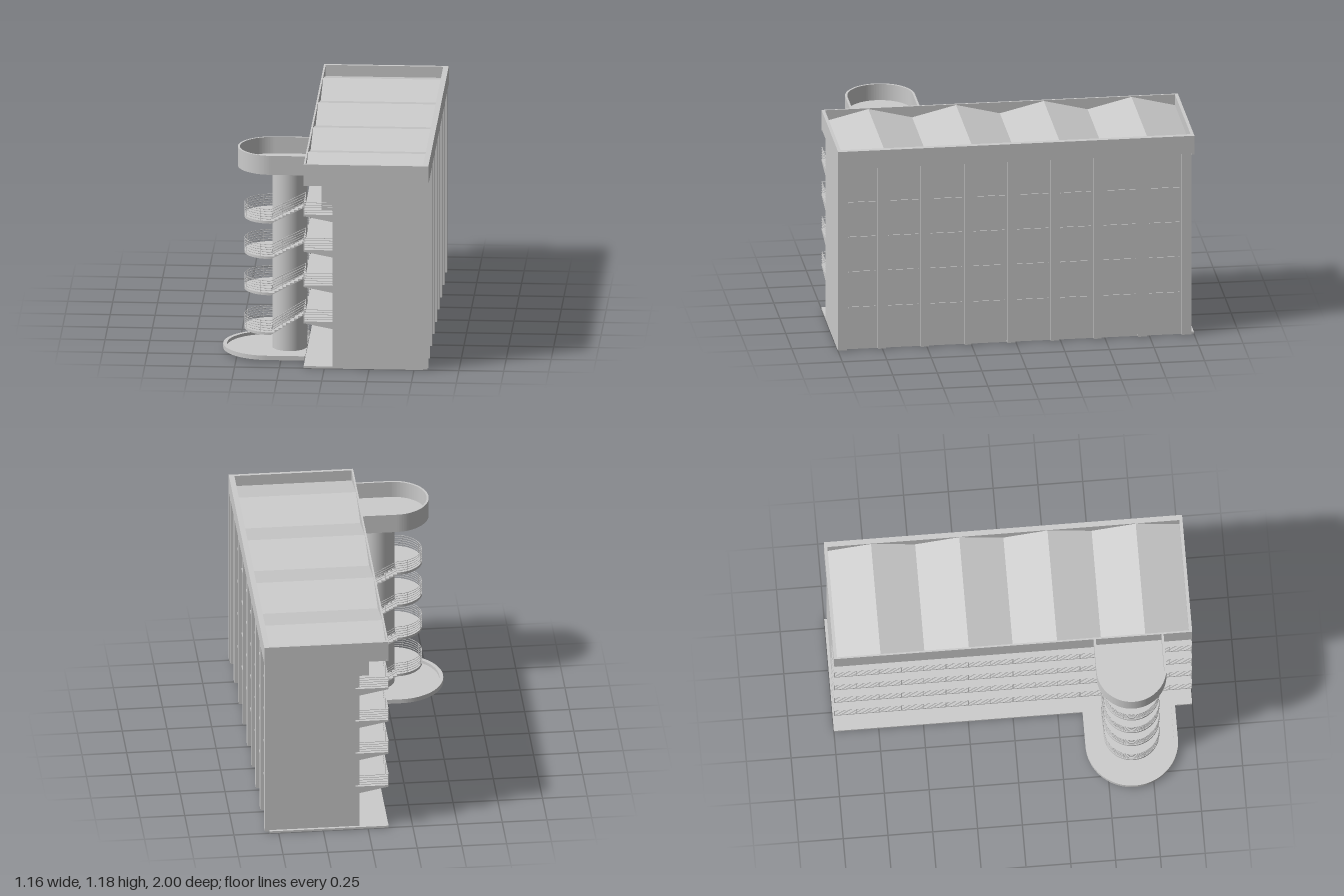
import * as THREE from 'three';

const mat = new THREE.MeshStandardMaterial({ color: 0xcccccc, side: THREE.DoubleSide });
const EDGE = -0.115, WALL = 0.047, FACE = 0.58;     // gallery edge, gallery wall, street facade
const CZ = 0.645;                                   // stair axis in z
const FLOORS = [0.27, 0.48, 0.685, 0.89];
const LANDINGS = [0.145, 0.375, 0.585, 0.79];

export function createModel() {
  const model = new THREE.Group();

  const add = (name, geo, parent = model) => {
    const m = new THREE.Mesh(geo, mat);
    m.name = name;
    parent.add(m);
    return m;
  };
  const group = (name) => {
    const g = new THREE.Group();
    g.name = name;
    model.add(g);
    return g;
  };
  // Box from min/max on each axis
  const box = (name, x0, x1, y0, y1, z0, z1, parent) => add(name,
    new THREE.BoxGeometry(x1 - x0, y1 - y0, z1 - z0)
      .translate((x0 + x1) / 2, (y0 + y1) / 2, (z0 + z1) / 2), parent);
  // Profile in x/y extruded from z0 to z1
  const extrudeZ = (pts, z0, z1) => new THREE.ExtrudeGeometry(
    new THREE.Shape(pts.map(p => new THREE.Vector2(...p))),
    { depth: z1 - z0, bevelEnabled: false }).translate(0, 0, z0);
  // Plan outline in x/z extruded from y0 to y1
  const extrudeY = (shape, y0, y1) => new THREE.ExtrudeGeometry(shape,
    { depth: y1 - y0, bevelEnabled: false, curveSegments: 32 })
    .rotateX(Math.PI / 2).translate(0, y1, 0);

  // ---- Main block ----
  box('mainBlock', 0.06, 0.555, 0.012, 1.08, -0.98, 0.995);
  box('groundSlab', EDGE, 0.55, 0, 0.012, -1, 1);
  box('frontEndWall', WALL, FACE, 0.012, 1.08, 0.97, 1);
  box('backEndWall', WALL, FACE - 0.005, 0.012, 1.08, -0.985, -0.96);

  // Street facade: pilasters with floor bands between them
  const facade = group('streetFacade');
  const pilasters = [[0.95, 1], [0.73, 0.775], [0.49, 0.535], [0.25, 0.29], [0.005, 0.05],
    [-0.24, -0.195], [-0.48, -0.435], [-0.735, -0.685], [-0.985, -0.93]];
  pilasters.forEach(([a, b], i) => {
    box('pilaster', 0.55, FACE - 0.005, 0.003, 1.08, a, b, facade);
    if (i === 0) return;
    const top = pilasters[i - 1][0];
    for (const y of FLOORS) box('floorBand', 0.55, 0.56, y - 0.025, y - 0.018, b + 0.012, top - 0.012, facade);
  });

  // Gallery wall: piers that leave a shallow door recess in each bay
  const galleryWall = group('galleryWall');
  for (let i = 0; i < 8; i++) {
    const z = -0.98 + i * 0.245;
    box('pier', WALL, 0.062, 0.012, 1.06, z, z + 0.16, galleryWall);
    box('topFloorFin', -0.02, 0.05, 0.89, 1.06, z + 0.13, z + 0.165, galleryWall);
    for (const y of [0.012, ...FLOORS])
      box('doorHandle', 0.05, 0.062, y + 0.075, y + 0.08, z + 0.18, z + 0.195, galleryWall);
  }

  // ---- Galleries: tapered slabs with rails and posts ----
  const RAILS = [0.012, 0.026, 0.04, 0.054, 0.068];
  const T = 0.0015;
  for (const y of FLOORS) {
    const g = group('gallery');
    add('gallerySlab', extrudeZ([[EDGE, y], [EDGE, y - 0.01], [WALL, y - 0.042], [0.07, y - 0.042], [0.07, y]], -1, 1), g);
    for (const r of RAILS) {
      for (const [a, b] of [[-0.998, CZ - 0.155], [CZ + 0.155, 0.998]])
        box('galleryRail', EDGE, EDGE + 2 * T, y + r - T, y + r + T, a, b, g);
      for (const z of [-0.998, 0.998])
        box('endRail', EDGE, WALL, y + r - T, y + r + T, z - T, z + T, g);
    }
    for (let i = 0; i <= 16; i++) {
      const z = -0.997 + i * 0.1246;
      if (Math.abs(z - CZ) > 0.15) box('railPost', EDGE, EDGE + 0.004, y, y + 0.07, z - 0.002, z + 0.002, g);
    }
  }

  // ---- Roof: fascia, parapet and folded deck ----
  box('roofSoffit', EDGE, 0.55, 1.055, 1.1, -0.99, 0.995);
  const parapet = group('parapet');
  box('streetParapet', 0.55, FACE, 1.075, 1.18, -1, 1, parapet);
  box('galleryParapet', EDGE, EDGE + 0.01, 1.06, 1.18, -1, 1, parapet);
  for (const z of [-1, 0.982]) box('endParapet', EDGE, FACE, 1.07, 1.18, z, z + 0.018, parapet);
  const folds = [[0.985, 1.09]];
  for (let i = 0; i <= 8; i++) folds.push([0.985 - i * 0.24625, i % 2 ? 1.176 : 1.115]);
  folds.push([-0.985, 1.09]);
  add('foldedRoof', extrudeZ(folds, EDGE + 0.005, 0.555).rotateY(Math.PI / 2));

  // ---- Stair tower ----
  const stair = group('stairTower');
  const AX = -0.31;                                 // centre of the rounded end
  // U-shaped outline with its open end at the gallery edge
  const uPath = (P, r, cx, end = EDGE) => {
    const p = new P();
    p.moveTo(end, CZ + r);
    p.lineTo(cx, CZ + r);
    p.absarc(cx, CZ, r, Math.PI / 2, Math.PI * 1.5, false);
    p.lineTo(end, CZ - r);
    p.closePath();
    return p;
  };
  // U-shaped wall: outer curve out, inner curve back
  const uWall = (r, t, cx) => {
    const s = new THREE.Shape();
    s.moveTo(EDGE, CZ + r);
    s.lineTo(cx, CZ + r);
    s.absarc(cx, CZ, r, Math.PI / 2, Math.PI * 1.5, false);
    s.lineTo(EDGE, CZ - r);
    s.lineTo(EDGE, CZ - r + t);
    s.lineTo(cx, CZ - r + t);
    s.absarc(cx, CZ, r - t, Math.PI * 1.5, Math.PI / 2, true);
    s.lineTo(EDGE, CZ + r - t);
    s.closePath();
    return s;
  };
  add('stairCore', new THREE.CylinderGeometry(0.0975, 0.0975, 1.06, 48).translate(-0.2125, 0.55, CZ), stair);
  add('baseFloor', extrudeY(uPath(THREE.Shape, 0.255, -0.325), 0.015, 0.022), stair);
  add('baseRim', extrudeY(uWall(0.258, 0.022, -0.325), 0.015, 0.04), stair);
  add('canopyFloor', extrudeY(uPath(THREE.Shape, 0.19, -0.307), 1.075, 1.085), stair);
  add('canopyWall', extrudeY(uWall(0.195, 0.012, -0.307), 1.07, 1.18), stair);
  box('entrancePlate', -0.27, EDGE, 0.003, 0.016, CZ - 0.16, CZ + 0.16, stair);

  // Stepped flight between the gallery edge (yEdge) and the landing (yLand)
  const STEPS = 9;
  const flight = (yLand, yEdge, z0, z1) => {
    const pts = [[AX, yLand - 0.015]];
    const dx = (EDGE - AX) / STEPS, dy = (yEdge - yLand) / STEPS;
    for (let i = 0; i < STEPS; i++) {
      const y = yLand + dy * (dy > 0 ? i : i + 1);
      pts.push([AX + i * dx, y], [AX + (i + 1) * dx, y]);
    }
    pts.push([EDGE, yEdge - 0.015]);
    return extrudeZ(pts, z0, z1);
  };
  LANDINGS.forEach((y, i) => {
    const up = FLOORS[i], down = i ? FLOORS[i - 1] : 0.03;
    add('landing', extrudeY(uPath(THREE.Shape, 0.155, AX, AX), y - 0.015, y), stair);
    add('upperFlight', flight(y, up, CZ + 0.085, CZ + 0.155), stair);
    add('lowerFlight', flight(y, down, CZ - 0.155, CZ - 0.085), stair);

    // Handrails follow upper flight, landing and lower flight
    const R = 0.153, path = [];
    for (let k = 0; k < 6; k++) path.push([EDGE + (AX - EDGE) * k / 6, up + (y - up) * k / 6, CZ + R]);
    for (let k = 0; k <= 16; k++) {
      const a = Math.PI / 2 + Math.PI * k / 16;
      path.push([AX + R * Math.cos(a), y, CZ + R * Math.sin(a)]);
    }
    for (let k = 1; k <= 6; k++) path.push([AX + (EDGE - AX) * k / 6, y + (down - y) * k / 6, CZ - R]);
    for (const r of RAILS) {
      const curve = new THREE.CatmullRomCurve3(path.map(p => new THREE.Vector3(p[0], p[1] + r, p[2])));
      add('stairRail', new THREE.TubeGeometry(curve, 70, 0.002, 4), stair);
    }
    path.forEach((p, k) => {
      if (k % 4 === 0) add('stairRailPost', new THREE.BoxGeometry(0.003, 0.07, 0.003).translate(p[0], p[1] + 0.035, p[2]), stair);
    });
  });

  return model;
}
